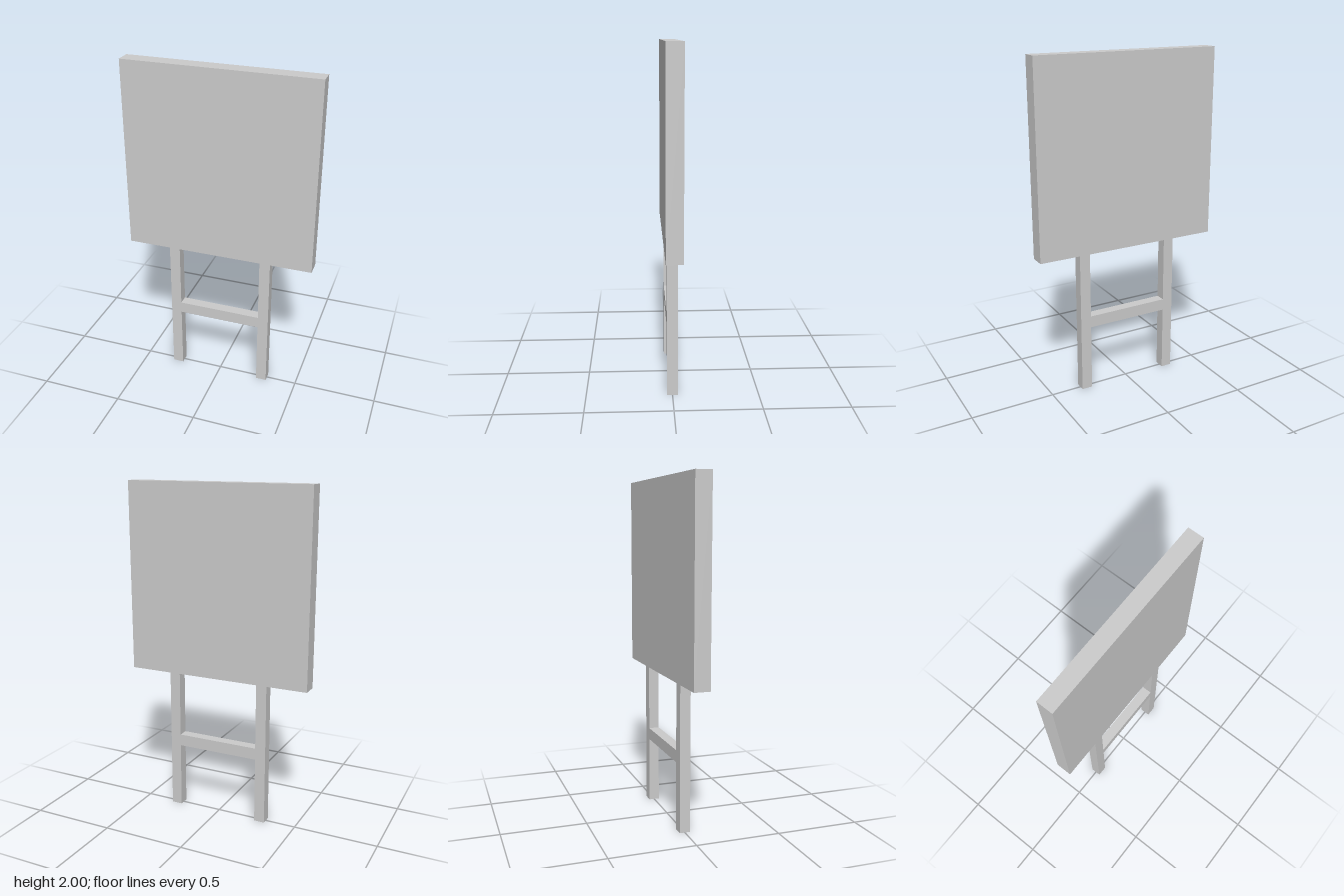
import * as THREE from 'three';

const PANEL = 1.13, PANEL_DEPTH = 0.094, LEG_TOP = 0.87;
const LEG_WIDTH = 0.064, POST_DEPTH = 0.062, LEG_X = 0.283;

export function createModel() {
  const group = new THREE.Group();
  const material = new THREE.MeshStandardMaterial({ color: 0xcccccc, flatShading: true });

  // Adds a box that is centred on z = 0 and spans bottom to top
  function addBox(name, width, bottom, top, depth, x = 0) {
    const mesh = new THREE.Mesh(new THREE.BoxGeometry(width, top - bottom, depth), material);
    mesh.name = name;
    mesh.position.set(x, (bottom + top) / 2, 0);
    group.add(mesh);
  }

  // Square board
  addBox('panel', PANEL, LEG_TOP, LEG_TOP + PANEL, PANEL_DEPTH);

  // Pair of posts
  addBox('leftLeg', LEG_WIDTH, 0, LEG_TOP, POST_DEPTH, LEG_X);
  addBox('rightLeg', LEG_WIDTH, 0, LEG_TOP, POST_DEPTH, -LEG_X);

  // Rail between the posts, flush with them
  addBox('crossbar', 2 * LEG_X - LEG_WIDTH, 0.4, 0.471, POST_DEPTH);

  return group;
}
